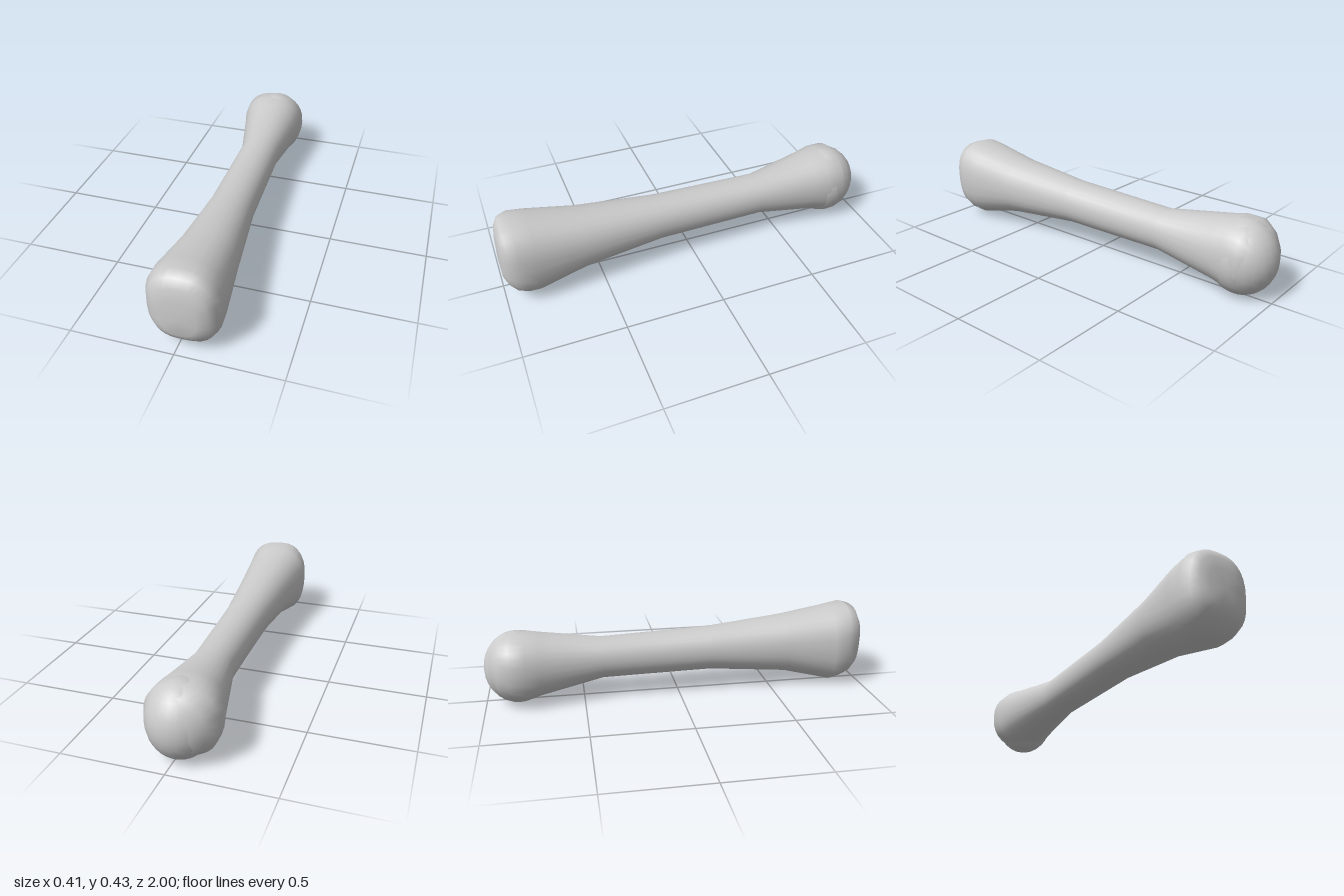
import * as THREE from 'three';

const SIDES = 28;

// Cross-sections along z: [z, xMin, xMax, yMin, yMax, squareness, lean]
const SECTIONS = [
  [-0.97, -0.11, 0.06, 0.11, 0.29, 2.0, 0],
  [-0.93, -0.165, 0.11, 0.055, 0.34, 2.1, 0],
  [-0.87, -0.205, 0.145, 0.03, 0.372, 2.3, 0],
  [-0.79, -0.2, 0.14, 0.022, 0.375, 2.3, 0],
  [-0.72, -0.182, 0.133, 0.04, 0.363, 2.2, 0],
  [-0.4, -0.11, 0.105, 0.102, 0.315, 2.1, 0],
  [0.17, -0.105, 0.125, 0.107, 0.335, 2.1, 0],
  [0.58, -0.13, 0.168, 0.07, 0.376, 2.2, 0],
  [0.83, -0.16, 0.195, 0.01, 0.416, 2.4, 0],
  [0.9, -0.152, 0.2, 0.02, 0.43, 2.5, 0.08],
  [0.95, -0.13, 0.185, 0.04, 0.415, 2.6, 0.08],
  [0.98, -0.1, 0.155, 0.08, 0.37, 2.7, 0.05],
  [0.995, -0.06, 0.11, 0.12, 0.31, 2.6, 0],
];

// Skin superelliptic rings and close both ends with a centre point
function loft(sections) {
  const pos = [];
  const index = [];
  const last = sections.length - 1;
  for (const [z, x0, x1, y0, y1, n, lean] of sections) {
    for (let j = 0; j < SIDES; j++) {
      const a = (j / SIDES) * Math.PI * 2;
      const c = Math.cos(a);
      const s = Math.sin(a);
      const x = (x0 + x1) / 2 + ((x1 - x0) / 2) * Math.sign(c) * Math.abs(c) ** (2 / n);
      const y = (y0 + y1) / 2 + ((y1 - y0) / 2) * Math.sign(s) * Math.abs(s) ** (2 / n);
      pos.push(x, y, z + lean * (y - 0.22));
    }
  }
  for (let i = 0; i < last; i++) {
    for (let j = 0; j < SIDES; j++) {
      const k = (j + 1) % SIDES;
      const a = i * SIDES + j, b = i * SIDES + k;
      index.push(a, b, b + SIDES, a, b + SIDES, a + SIDES);
    }
  }
  const back = pos.length / 3;
  for (const [i, dz] of [[0, -0.01], [last, 0.005]]) {
    const [z, x0, x1, y0, y1] = sections[i];
    pos.push((x0 + x1) / 2, (y0 + y1) / 2, z + dz);
  }
  for (let j = 0; j < SIDES; j++) {
    const k = (j + 1) % SIDES;
    index.push(back, k, j, back + 1, last * SIDES + j, last * SIDES + k);
  }
  const geo = new THREE.BufferGeometry();
  geo.setAttribute('position', new THREE.Float32BufferAttribute(pos, 3));
  geo.setIndex(index);
  geo.computeVertexNormals();
  return geo;
}

export function createModel() {
  const group = new THREE.Group();
  group.name = 'bone';
  const material = new THREE.MeshStandardMaterial({ color: 0xcccccc });

  // Shaft flaring into a squared-off front end and a rounder back end
  const shaft = new THREE.Mesh(loft(SECTIONS), material);
  shaft.name = 'shaft';
  group.add(shaft);

  // Rounded joint head bulging out of the back end
  const head = new THREE.Mesh(new THREE.SphereGeometry(1, 24, 16), material);
  head.name = 'jointHead';
  head.scale.set(0.16, 0.188, 0.17);
  head.position.set(-0.015, 0.19, -0.83);
  group.add(head);

  return group;
}
